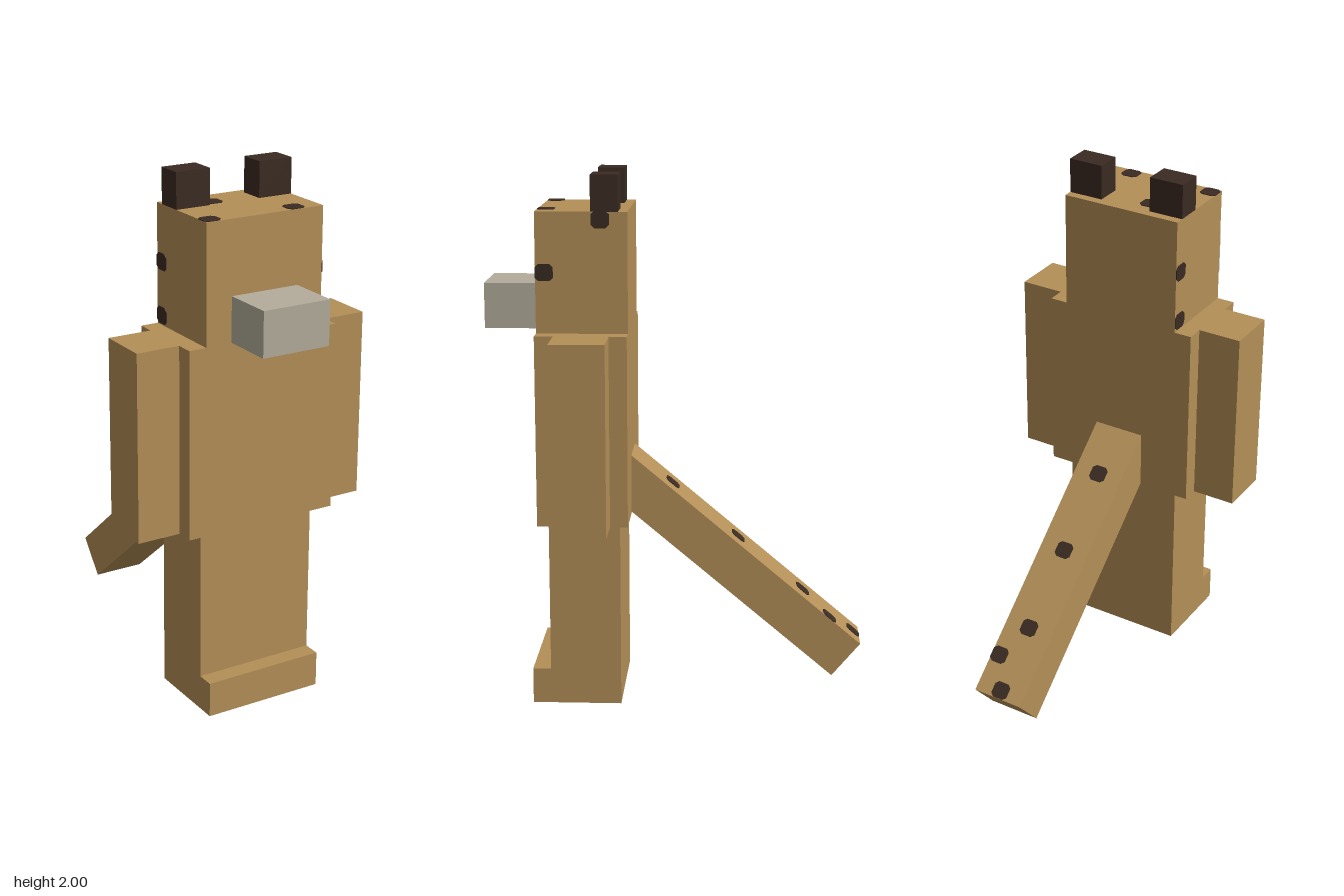
import * as THREE from 'three';

const tan = new THREE.MeshStandardMaterial({ color: 0xb48f57 });
tan.name = 'tan fur';
const dark = new THREE.MeshStandardMaterial({ color: 0x3a2b22 });
dark.name = 'dark brown';
const grey = new THREE.MeshStandardMaterial({ color: 0xb4ad9c });
grey.name = 'pale muzzle grey';

// Box given by its extents on each axis
function block(name, material, [x0, x1], [y0, y1], [z0, z1]) {
  const mesh = new THREE.Mesh(new THREE.BoxGeometry(x1 - x0, y1 - y0, z1 - z0), material);
  mesh.position.set((x0 + x1) / 2, (y0 + y1) / 2, (z0 + z1) / 2);
  mesh.name = name;
  return mesh;
}

// Thin eight-sided fur spot, facing +z before it is turned
const spotShape = new THREE.Shape([
  [-0.033, -0.019], [-0.02, -0.031], [0.02, -0.031], [0.033, -0.019],
  [0.033, 0.019], [0.02, 0.031], [-0.02, 0.031], [-0.033, 0.019],
].map(([x, y]) => new THREE.Vector2(x, y)));
const spotGeometry = new THREE.ExtrudeGeometry(spotShape, { depth: 0.003, bevelEnabled: false });

function spot(name, x, y, z, rotX, rotY) {
  const mesh = new THREE.Mesh(spotGeometry, dark);
  mesh.position.set(x, y, z);
  mesh.rotation.set(rotX, rotY, 0);
  mesh.name = name;
  return mesh;
}

export function createModel() {
  const model = new THREE.Group();
  model.name = 'blockAnimal';

  // Torso, head and muzzle
  model.add(block('body', tan, [-0.305, 0.305], [0.715, 1.425], [0.17, 0.506]));
  model.add(block('head', tan, [-0.237, 0.237], [1.425, 1.868], [0.17, 0.506]));
  model.add(block('muzzle', grey, [-0.135, 0.135], [1.427, 1.595], [0.506, 0.708]));

  // Joined legs with a foot step in front
  model.add(block('legs', tan, [-0.237, 0.237], [0, 0.715], [0.204, 0.471]));
  model.add(block('feet', tan, [-0.237, 0.237], [0, 0.135], [0.471, 0.539]));

  // Mirrored arms and ears
  for (const [side, s] of [['left', 1], ['right', -1]]) {
    const span = (a, b) => (s > 0 ? [a, b] : [-b, -a]);
    model.add(block(side + 'Arm', tan, span(0.305, 0.473), [0.715, 1.425], [0.236, 0.438]));
    model.add(block(side + 'Ear', dark, span(0.102, 0.237), [1.868, 2], [0.204, 0.304]));
  }

  // Spots on the crown
  for (const [x, z] of [[-0.206, 0.473], [0.134, 0.473], [-0.07, 0.265]]) {
    model.add(spot('crownSpot', x, 1.868, z, -Math.PI / 2, 0));
  }
  // Spots on the sides of the head
  for (const [y, z] of [[1.84, 0.269], [1.648, 0.474]]) {
    model.add(spot('leftHeadSpot', 0.237, y, z, 0, Math.PI / 2));
  }
  for (const [y, z] of [[1.66, 0.203], [1.462, 0.203]]) {
    model.add(spot('rightHeadSpot', -0.237, y, z, 0, -Math.PI / 2));
  }

  // Sloping tail: its group starts at the tip and runs up into the body
  const tail = new THREE.Group();
  tail.name = 'tail';
  tail.position.set(0, 0.14, -0.652);
  tail.rotation.x = -40 * Math.PI / 180;
  tail.add(block('tailBar', tan, [-0.101, 0.101], [-0.084, 0.084], [0, 1.17]));
  for (const [x, z] of [[0, 0.032], [0.068, 0.155], [0, 0.29], [0, 0.617], [0, 0.945]]) {
    tail.add(spot('tailSpot', x, 0.084, z, -Math.PI / 2, 0));
  }
  model.add(tail);

  return model;
}
